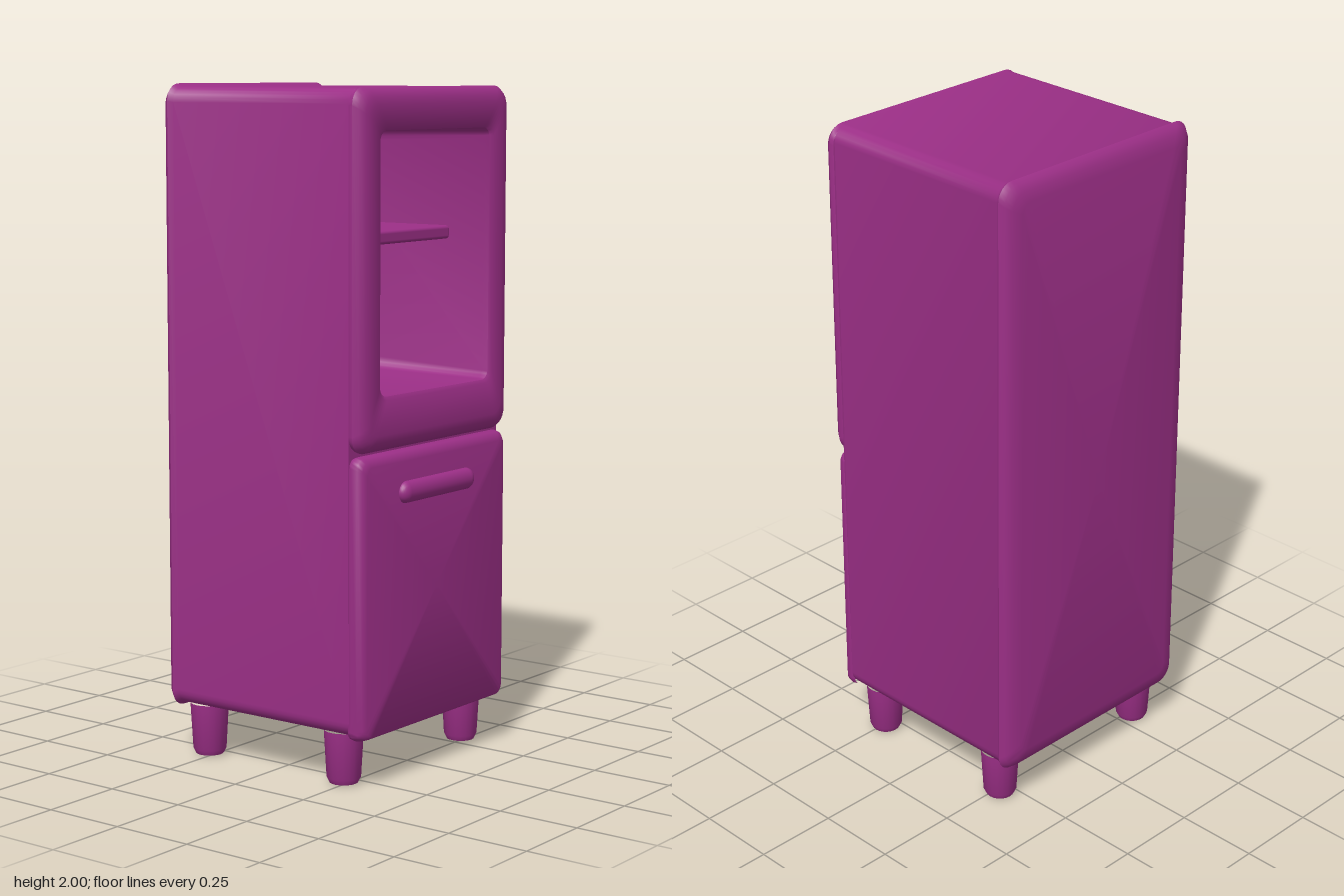
import * as THREE from 'three';
import { toCreasedNormals } from 'three/addons/utils/BufferGeometryUtils.js';
import { RoundedBoxGeometry } from 'three/addons/geometries/RoundedBoxGeometry.js';

const CORNER = 6; // segments per rounded corner

// Rounded rectangle as a loop of points, counter-clockwise seen from +z
function ringPoints([z, x0, x1, y0, y1, r]) {
  const centres = [[x1 - r, y1 - r], [x0 + r, y1 - r], [x0 + r, y0 + r], [x1 - r, y0 + r]];
  const points = [];
  centres.forEach(([cx, cy], k) => {
    for (let i = 0; i <= CORNER; i++) {
      const a = (k + i / CORNER) * Math.PI / 2;
      points.push(cx + r * Math.cos(a), cy + r * Math.sin(a), z);
    }
  });
  return points;
}

// Skin a list of rings [z, x0, x1, y0, y1, radius]
function loft(rings) {
  const n = 4 * (CORNER + 1);
  const index = [];
  for (let j = 0; j < rings.length - 1; j++) {
    for (let i = 0; i < n; i++) {
      const a = j * n + i, b = j * n + (i + 1) % n;
      index.push(a, b, b + n, a, b + n, a + n);
    }
  }
  const geometry = new THREE.BufferGeometry();
  geometry.setAttribute('position', new THREE.Float32BufferAttribute(rings.flatMap(ringPoints), 3));
  geometry.setIndex(index);
  return toCreasedNormals(geometry, 0.75);
}

export function createModel() {
  const group = new THREE.Group();
  const plum = new THREE.MeshStandardMaterial({ color: 0x9c2f87 });
  plum.name = 'plum';

  const add = (name, geometry, x = 0, y = 0, z = 0) => {
    const mesh = new THREE.Mesh(geometry, plum);
    mesh.name = name;
    mesh.position.set(x, y, z);
    group.add(mesh);
    return mesh;
  };

  // Cabinet shell: rounded back, sides, upper front frame, then the open compartment
  const outer = (z, inset, r) => [z, -0.375 + inset, 0.375 - inset, 0.147 + inset, 2 - inset, r];
  const frame = (z, inset, r) => [z, -0.375 + inset, 0.375 - inset, 0.97 + inset, 1.995 - inset, r];
  const opening = (z, inset, r) => [z, -0.27 + inset, 0.265 - inset, 1.13 + inset, 1.87 - inset, r];
  add('cabinet', loft([
    [-0.378, 0, 0, 1, 1, 0],
    outer(-0.378, 0.06, 0.03),
    outer(-0.371, 0.03, 0.045),
    outer(-0.36, 0.01, 0.05),
    outer(-0.345, 0, 0.05),
    outer(-0.33, 0.009, 0.045),
    outer(0.31, 0.009, 0.045),
    frame(0.311, 0.005, 0.05),
    frame(0.325, 0.002, 0.05),
    frame(0.342, 0.012, 0.05),
    frame(0.352, 0.03, 0.045),
    frame(0.355, 0.05, 0.04),
    opening(0.355, -0.012, 0.035),
    opening(0.347, -0.002, 0.03),
    opening(0.33, 0, 0.03),
    opening(-0.25, 0.006, 0.04),
    opening(-0.275, 0.015, 0.045),
    opening(-0.285, 0.04, 0.045),
    [-0.285, 0, 0, 1.5, 1.5, 0],
  ]));

  // Shelf across the open compartment
  add('shelf', new RoundedBoxGeometry(0.534, 0.04, 0.49, 2, 0.01), -0.002, 1.56, -0.035);

  // Lower door
  const door = (z, inset, r) => [z, -0.37 + inset, 0.365 - inset, 0.147 + inset * 0.4, 0.965 - inset, r];
  add('lowerDoor', loft([
    door(0.305, 0.006, 0.025),
    door(0.32, 0, 0.03),
    door(0.338, 0.004, 0.03),
    door(0.35, 0.014, 0.03),
    door(0.355, 0.03, 0.025),
    [0.355, 0, 0, 0.55, 0.55, 0],
  ]));

  // Pull handle: a flattened bar with round ends
  const handle = add('handle', new THREE.CapsuleGeometry(0.032, 0.3, 6, 16), -0.008, 0.845, 0.355);
  handle.rotation.z = Math.PI / 2;
  handle.scale.z = 0.75;

  // Four tapered legs with rounded feet
  const profile = [[0, 0.008], [0.022, 0.008], [0.027, 0], [0.042, 0.004], [0.05, 0.02], [0.058, 0.16]];
  const legGeometry = toCreasedNormals(
    new THREE.LatheGeometry(profile.map(([r, y]) => new THREE.Vector2(r, y)), 20), 0.8);
  for (const [side, x] of [['Right', -0.298], ['Left', 0.293]]) {
    add('front' + side + 'Leg', legGeometry, x, 0, 0.24);
    add('back' + side + 'Leg', legGeometry, x, 0, -0.267);
  }

  return group;
}
